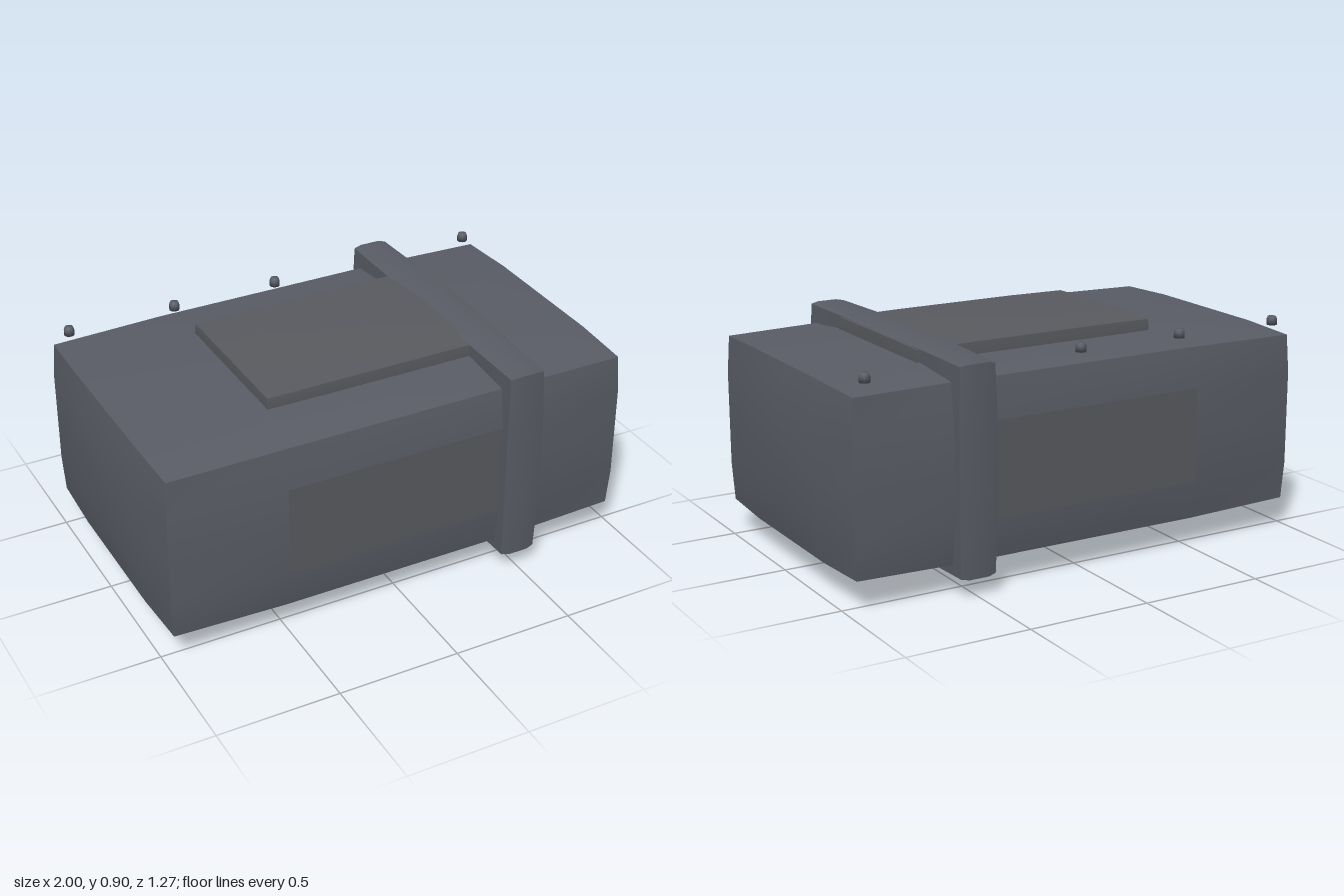
import * as THREE from 'three';

const shell = new THREE.MeshStandardMaterial({ color: 0x5a5d66 });
shell.name = 'slate shell';
const inset = new THREE.MeshStandardMaterial({ color: 0x595b60 });
inset.name = 'grey panel';

// Box whose six faces swell outward, with a flat middle and nearly straight edges
function swollenBox(half, inner, bulge, edgeBulge) {
  const geo = new THREE.BoxGeometry(2, 2, 2, 4, 4, 4);
  const pos = geo.attributes.position;
  for (let i = 0; i < pos.count; i++) {
    const u = [pos.getX(i), pos.getY(i), pos.getZ(i)];
    const rim = u.map((v) => Math.abs(v) > 0.9);
    const p = u.map((v, a) => {
      if (!rim[a]) return Math.sign(v) * (Math.abs(v) > 0.1 ? inner[a] : 0);
      const freeAxes = rim.filter((r) => !r).length;
      const swell = freeAxes === 2 ? bulge[a] : freeAxes === 1 ? edgeBulge : 0;
      return Math.sign(v) * (half[a] + swell);
    });
    pos.setXYZ(i, ...p);
  }
  geo.computeVertexNormals();
  return geo;
}

export function createModel() {
  const model = new THREE.Group();
  model.name = 'strappedCase';

  const add = (name, geo, mat, x, y, z) => {
    const mesh = new THREE.Mesh(geo, mat);
    mesh.name = name;
    mesh.position.set(x, y, z);
    model.add(mesh);
    return mesh;
  };

  // Main body
  add('body', swollenBox([0.965, 0.342, 0.56], [0.5, 0.19, 0.3],
    [0.035, 0.036, 0.036], 0.008), shell, 0, 0.468, 0);

  // Band around the body
  add('band', swollenBox([0.073, 0.403, 0.626], [0.04, 0.21, 0.32],
    [0.006, 0.011, 0.011], 0.006), shell, 0.498, 0.482, 0);

  // Raised lid panel, just proud of the band
  add('lidPanel', swollenBox([0.518, 0.045, 0.325], [0.27, 0.024, 0.17],
    [0.004, 0.008, 0.005], 0.003), inset, 0.068, 0.888 - 0.045, 0);

  // Flush panels on the front and back
  for (const side of [1, -1]) {
    const panel = add(side > 0 ? 'frontPanel' : 'backPanel',
      new THREE.PlaneGeometry(1, 0.38), inset, 0, 0.468, side * 0.598);
    if (side < 0) panel.rotation.y = Math.PI;
  }

  // Row of small studs above the back edge
  const studProfile = [[0, -0.018], [0.021, -0.018], [0.021, 0.004], [0.017, 0.016], [0, 0.018]]
    .map(([r, y]) => new THREE.Vector2(r, y));
  const studGeo = new THREE.LatheGeometry(studProfile, 12);
  for (let i = -2; i <= 2; i++) add('stud', studGeo, shell, i * 0.4525, 0.872, -0.535);

  // Foot under the right end: mounting plate, fin and small side rail
  const box = (name, w, h, d, y, z) =>
    add(name, new THREE.BoxGeometry(w, h, d), shell, -0.79, y, z);
  box('footPlate', 0.235, 0.06, 0.094, 0.083, 0);
  box('footFin', 0.165, 0.1, 0.026, 0.05, 0);
  box('footRail', 0.165, 0.06, 0.012, 0.08, 0.12);

  return model;
}
